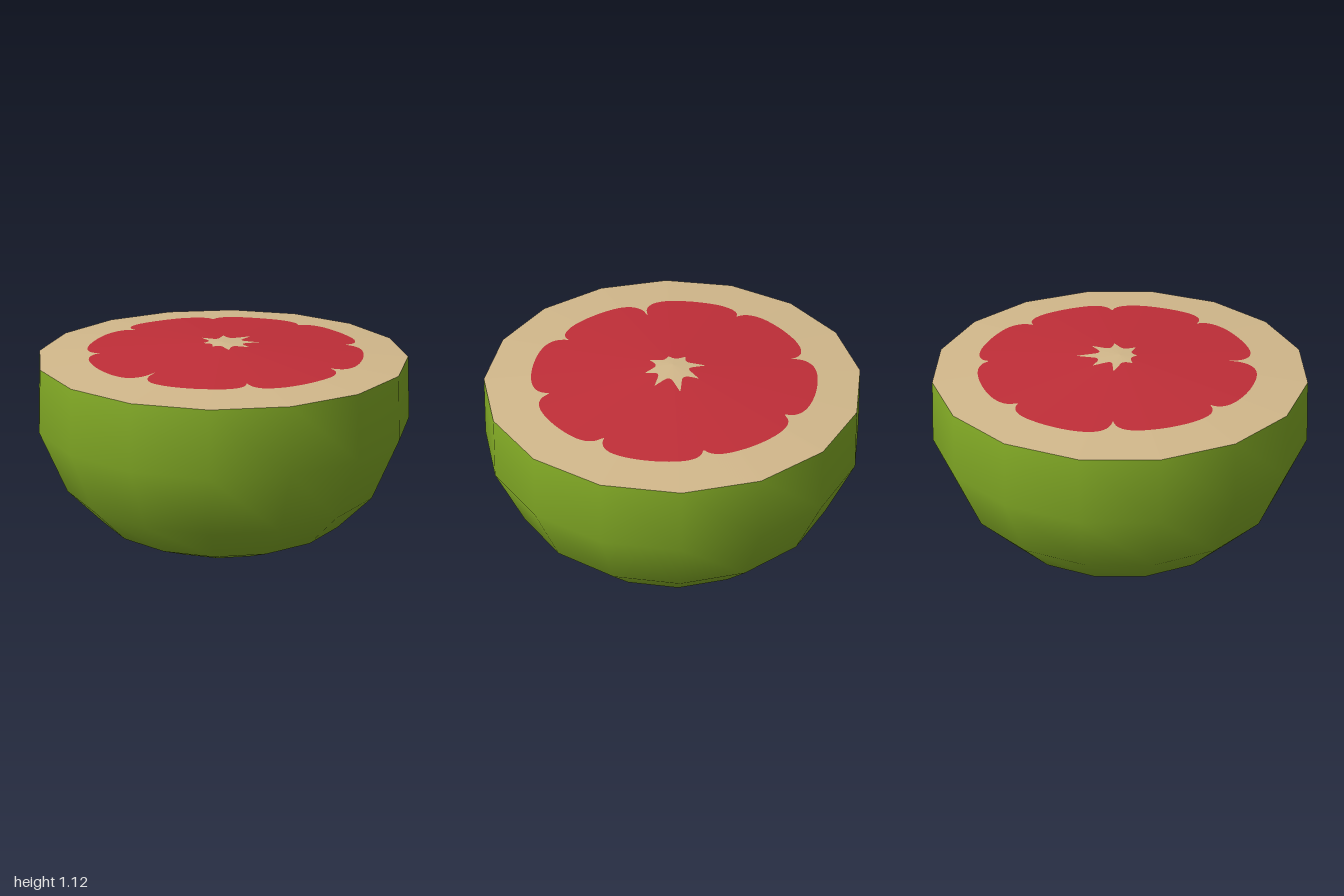
import * as THREE from 'three';

const SIDES = 16, STEPS = 480, RIM = 0.98, RIM_Y = 1.055, PEAK_Y = 1.118;
const TAU = Math.PI * 2;

// Notches between segments: [angle in degrees, notch radius, radius of the lobe that follows]
const NOTCHES = [
  [-100, 0.67, 0.76], [-57.5, 0.64, 0.745], [-15.3, 0.63, 0.735], [30.6, 0.62, 0.71],
  [78, 0.56, 0.72], [125.4, 0.63, 0.725], [171.7, 0.62, 0.75], [217, 0.65, 0.745],
];
// Points of the core star: [angle in degrees, tip radius, valley radius that follows]
const TIPS = [
  [-97, 0.23, 0.12], [-60, 0.2, 0.11], [-22, 0.16, 0.09], [27, 0.135, 0.07],
  [77, 0.09, 0.065], [131, 0.105, 0.08], [180, 0.17, 0.09], [223, 0.175, 0.12],
];

// Finds the interval of a closed list around an angle; u runs from -1 to 1 across it
function locate(list, angle) {
  const turn = (d) => ((d % 360) + 360) % 360;
  const deg = angle * 360 / TAU;
  for (let i = 0; i < list.length; i++) {
    const from = list[i], to = list[(i + 1) % list.length];
    const span = turn(to[0] - from[0]), offset = turn(deg - from[0]);
    if (offset < span) {
      const u = 2 * offset / span - 1;
      return { u, mid: from[2], end: u < 0 ? from[1] : to[1] };
    }
  }
}

const lobeRadius = (a) => {
  const { u, mid, end } = locate(NOTCHES, a);
  return end + (mid - end) * Math.sqrt(1 - Math.abs(u) ** 5);
};
const starRadius = (a) => {
  const { u, mid, end } = locate(TIPS, a);
  return mid + (end - mid) * Math.abs(u) ** 2.5;
};
// Edge of the sixteen-sided cut face
const rimRadius = (a) => {
  const step = TAU / SIDES;
  const local = ((a % step) + step) % step - step / 2;
  return RIM * Math.cos(step / 2) / Math.cos(local);
};

// Band of the shallow cut face between two outlines
function cutBand(inner, outer) {
  const positions = [], index = [];
  for (let i = 0; i <= STEPS; i++) {
    const a = i / STEPS * TAU;
    for (const r of [inner(a), outer(a)]) {
      const y = PEAK_Y + (RIM_Y - PEAK_Y) * r / rimRadius(a);
      positions.push(r * Math.cos(a), y, r * Math.sin(a));
    }
    if (i < STEPS) {
      const k = i * 2;
      index.push(k, k + 3, k + 1, k, k + 2, k + 3);
    }
  }
  const g = new THREE.BufferGeometry();
  g.setAttribute('position', new THREE.Float32BufferAttribute(positions, 3));
  g.setIndex(index);
  g.computeVertexNormals();
  return g;
}

export function createModel() {
  const group = new THREE.Group();
  group.name = 'halfFruit';
  const material = (name, color) => {
    const m = new THREE.MeshStandardMaterial({ color });
    m.name = name;
    return m;
  };
  const green = material('greenRind', 0x85ae26);
  const cream = material('creamPith', 0xd2b88b);
  const red = material('redFlesh', 0xc02e38);
  const add = (name, geometry, mat) => {
    const mesh = new THREE.Mesh(geometry, mat);
    mesh.name = name;
    group.add(mesh);
  };

  // Rounded outer skin
  const profile = [[0, 0], [0.44, 0.065], [0.68, 0.18], [0.865, 0.38], [1, 0.72], [RIM, RIM_Y]]
    .map(([x, y]) => new THREE.Vector2(x, y));
  add('rind', new THREE.LatheGeometry(profile, SIDES), green);

  // Cut face: core star, lobed flesh and surrounding pith
  add('core', cutBand(() => 0, starRadius), cream);
  add('flesh', cutBand(starRadius, lobeRadius), red);
  add('pith', cutBand(lobeRadius, rimRadius), cream);
  return group;
}
